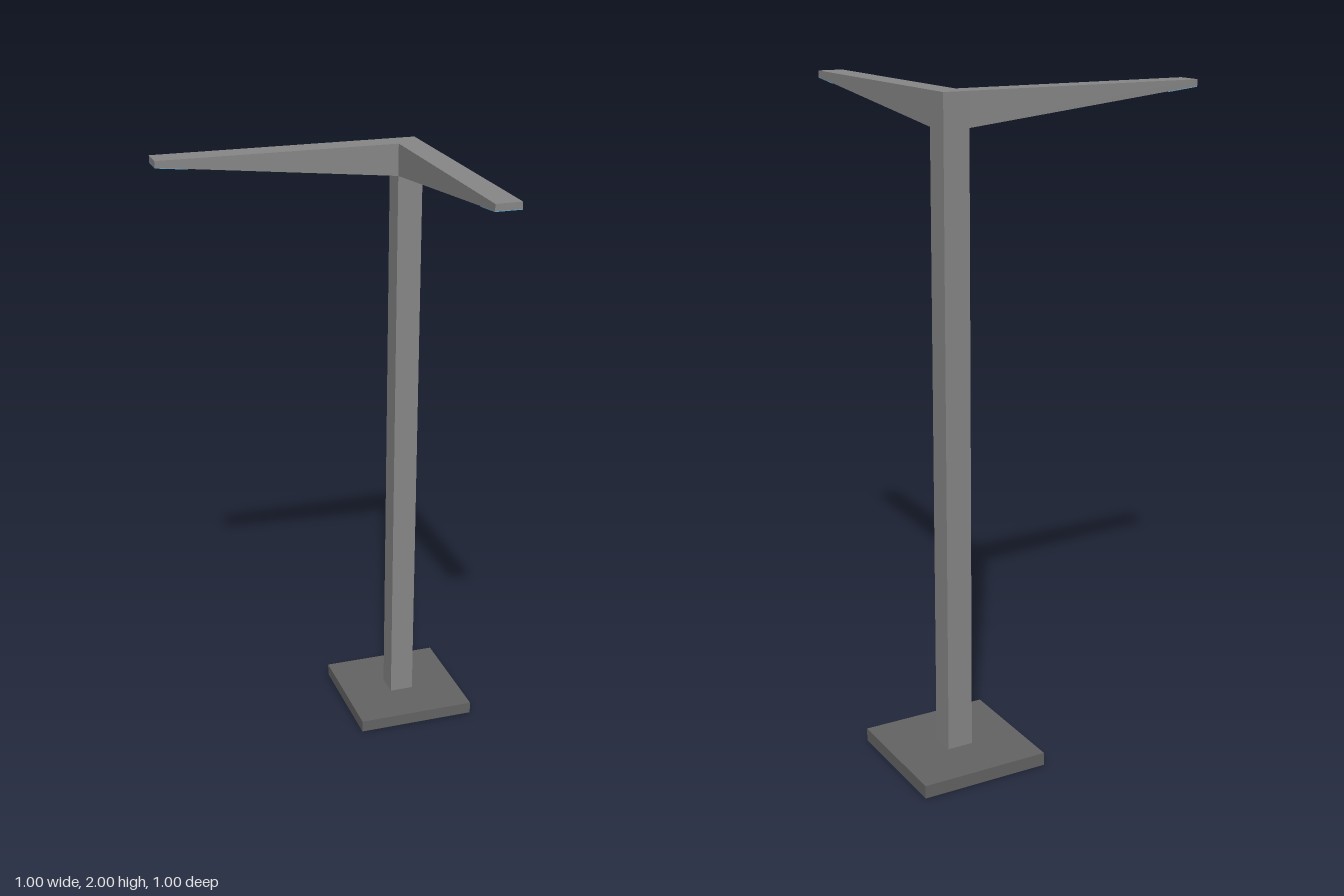
import * as THREE from 'three';

const W = 0.08;          // post and arm width
const HEIGHT = 2;
const REACH = 0.8;       // arm tip, from the post axis
const ROOT_Y = 1.9, TIP_Y = 1.98;

const standard = (name, color) => {
  const m = new THREE.MeshStandardMaterial({ color });
  m.name = name;
  return m;
};

// Side profile (outward, up) extruded to the arm width
function extrudeProfile(points) {
  const shape = new THREE.Shape(points.map(([x, y]) => new THREE.Vector2(x, y)));
  return new THREE.ExtrudeGeometry(shape, { depth: W, bevelEnabled: false }).translate(0, 0, -W / 2);
}

export function createModel() {
  const steel = standard('grey steel', 0x888888);
  const darkSteel = standard('dark steel', 0x646464);
  const lens = standard('blue lens', 0x66aacc);

  const model = new THREE.Group();
  model.name = 'streetLamp';
  const add = (parent, name, geometry, material) => {
    const mesh = new THREE.Mesh(geometry, material);
    mesh.name = name;
    parent.add(mesh);
  };

  // Everything is set around the post axis
  const lamp = new THREE.Group();
  lamp.name = 'lamp';
  lamp.position.set(0.3, 0, -0.3);
  model.add(lamp);

  add(lamp, 'basePlate', new THREE.BoxGeometry(0.4, 0.04, 0.4).translate(0, 0.02, 0), darkSteel);
  add(lamp, 'post', new THREE.BoxGeometry(W, HEIGHT - 0.04, W).translate(0, (HEIGHT + 0.04) / 2, 0), steel);

  // Tapered arm with a lens plate under its tip
  const armGeometry = extrudeProfile([[W / 2, ROOT_Y], [REACH, TIP_Y], [REACH, HEIGHT], [W / 2, HEIGHT]]);
  const lensStart = REACH - 0.1;
  const lensY = TIP_Y - 0.1 * (TIP_Y - ROOT_Y) / (REACH - W / 2);
  const t = 0.002;
  const lensGeometry = extrudeProfile([[lensStart, lensY - t], [REACH, TIP_Y - t], [REACH, TIP_Y], [lensStart, lensY]]);

  for (const [name, turn] of [['rightArm', Math.PI], ['frontArm', -Math.PI / 2]]) {
    const arm = new THREE.Group();
    arm.name = name;
    arm.rotation.y = turn;
    add(arm, 'armBeam', armGeometry, steel);
    add(arm, 'lampLens', lensGeometry, lens);
    lamp.add(arm);
  }
  return model;
}
